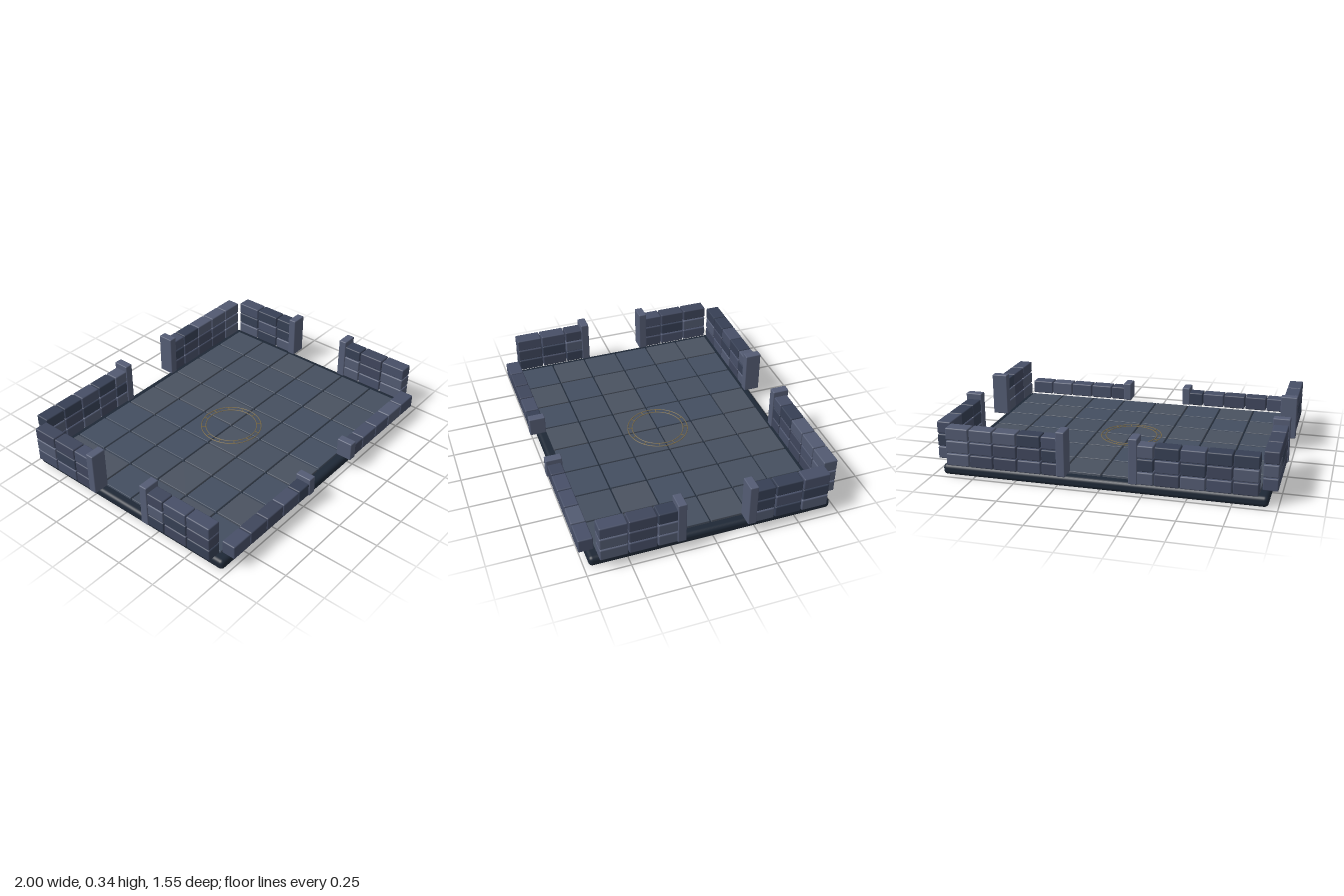
import * as THREE from 'three';
import { RoundedBoxGeometry } from 'three/addons/geometries/RoundedBoxGeometry.js';

const material = (color) => new THREE.MeshStandardMaterial({ color });
const BASE = material(0x1e2836);
const POST = material(0x545c74);
const GOLD = material(0x75684a);
const TILES = [0x454f5f, 0x4a5260, 0x434e60].map(material);
const BLOCKS = [0x363f54, 0x474f67, 0x3f465c, 0x525a71].map(material);

// Small seeded generator for stone shades
let seed = 11;
const pick = (list) => {
  seed = (seed * 1103515245 + 12345) % 2147483648;
  return list[Math.floor((seed / 2147483648) * list.length)];
};

// Rounded box given by its minimum and maximum corners
function block(name, x0, x1, y0, y1, z0, z1, mat, radius = 0.007, segments = 2) {
  const geo = new RoundedBoxGeometry(x1 - x0, y1 - y0, z1 - z0, segments, radius);
  const mesh = new THREE.Mesh(geo, mat);
  mesh.name = name;
  mesh.position.set((x0 + x1) / 2, (y0 + y1) / 2, (z0 + z1) / 2);
  return mesh;
}

// Half a wall along +x, from the outer corner in to the doorway post at x = 0.18
function halfWall(name, outer, count, rows, rowHeight, postTop) {
  const wall = new THREE.Group();
  wall.name = name;
  const pitch = (outer - 0.18) / count;
  const gap = 0.003;
  for (let r = 0; r < rows; r++) {
    const y = 0.08 + r * rowHeight;
    for (let i = 0; i < count; i++) {
      const x1 = outer - i * pitch - gap;
      const x0 = Math.max(outer - (i + 1) * pitch + gap, 0.195);
      wall.add(block('wallBlock', x0, x1, y, y + rowHeight - 0.005, -0.043, 0.043, pick(BLOCKS)));
    }
  }
  wall.add(block('doorPost', 0.182, 0.233, 0.08, postTop, -0.05, 0.05, POST, 0.006));
  return wall;
}

export function createModel() {
  const model = new THREE.Group();
  model.name = 'stoneRoom';

  // Foundation slab
  model.add(block('foundation', -0.947, 0.947, 0, 0.064, -0.722, 0.722, BASE, 0.024, 4));

  // Floor tiles, 8 by 6
  const floor = new THREE.Group();
  floor.name = 'floor';
  const px = 0.225, pz = 0.2245;
  for (let i = 0; i < 8; i++) {
    for (let j = 0; j < 6; j++) {
      const x = (i - 4) * px, z = (j - 3) * pz;
      floor.add(block('floorTile', x + 0.005, x + px - 0.005, 0.06, 0.078,
        z + 0.005, z + pz - 0.005, pick(TILES), 0.003, 1));
    }
  }
  model.add(floor);

  // Walls: full height at the back and sides, a low one at the front
  for (const s of [-1, 1]) {
    const turn = s > 0 ? 0 : Math.PI;
    const back = halfWall('backWall', 0.9, 5, 3, 0.0775, 0.345);
    back.position.z = -0.723;
    back.rotation.y = turn;
    const front = halfWall('frontWall', 0.9, 5, 1, 0.09, 0.197);
    front.position.z = 0.723;
    front.rotation.y = turn;
    model.add(back, front);
    for (const side of [-1, 1]) {
      const wall = halfWall('sideWall', 0.675, 3, 3, 0.0775, 0.345);
      wall.position.x = side * 0.949;
      wall.rotation.y = s * Math.PI / 2;
      model.add(wall);
    }
  }

  // Inlaid floor ring: two thin hoops joined by short bars
  const ring = new THREE.Group();
  ring.name = 'floorRing';
  ring.position.y = 0.079;
  for (const radius of [0.188, 0.16]) {
    const geo = new THREE.TorusGeometry(radius, 0.003, 6, 64).rotateX(Math.PI / 2);
    const hoop = new THREE.Mesh(geo, GOLD);
    hoop.name = 'ringHoop';
    ring.add(hoop);
  }
  for (let i = 0; i < 12; i++) {
    const geo = new THREE.BoxGeometry(0.026, 0.004, 0.005).translate(0.174, 0, 0);
    const bar = new THREE.Mesh(geo, GOLD);
    bar.name = 'ringBar';
    bar.rotation.y = (i + 0.5) * Math.PI / 6;
    ring.add(bar);
  }
  model.add(ring);
  return model;
}
